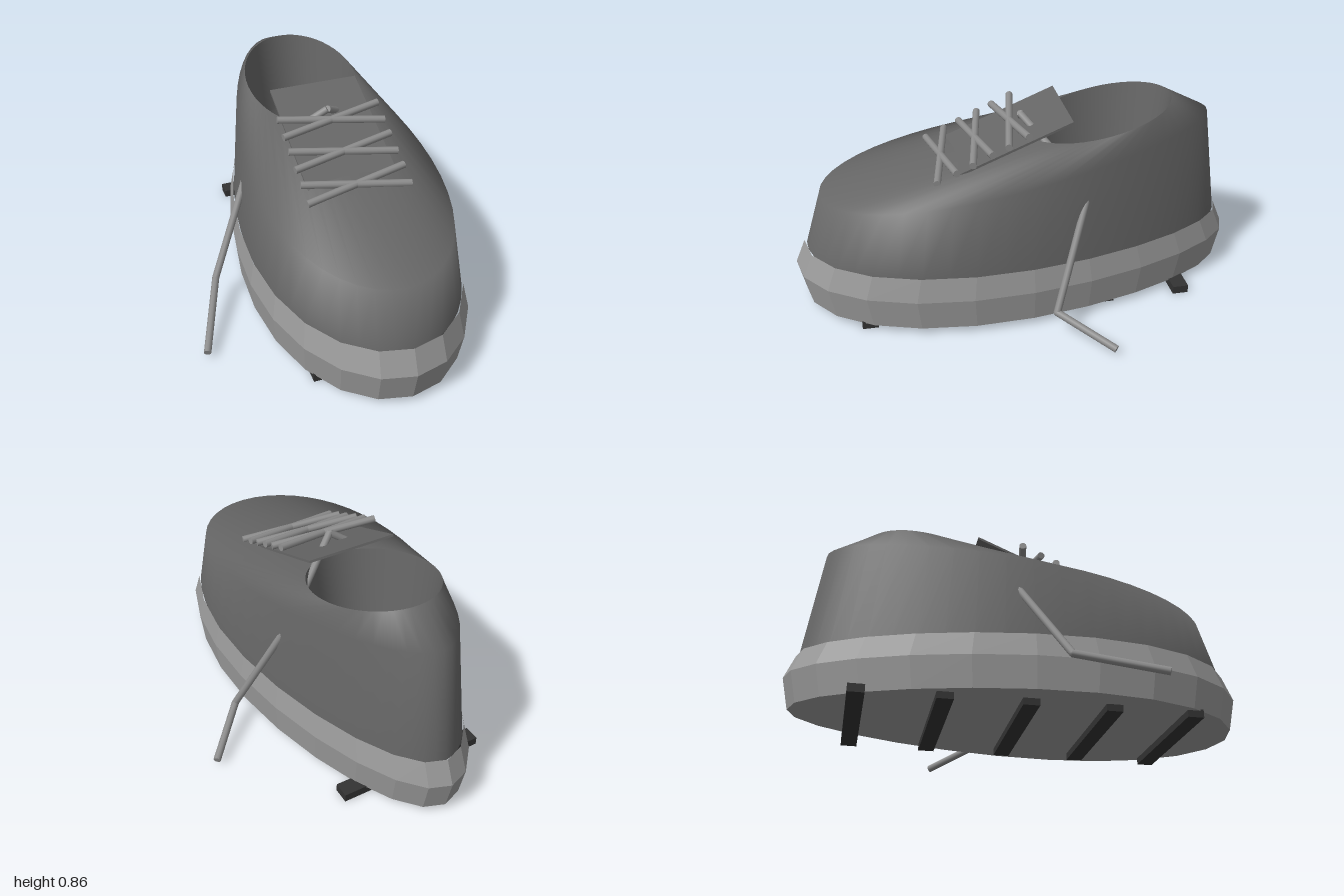
import * as THREE from 'three';

const material = (name, color, extra = {}) => {
  const m = new THREE.MeshStandardMaterial({ color, ...extra });
  m.name = name;
  return m;
};

// Skin a stack of closed rings, bottom to top, optionally closing the underside.
function loft(rings, capBottom = false) {
  const n = rings[0].length;
  const position = rings.flat().flatMap((p) => [p.x, p.y, p.z]);
  const index = [];
  for (let i = 0; i < rings.length - 1; i++) {
    for (let j = 0; j < n; j++) {
      const k = (j + 1) % n;
      const a = i * n + j, b = i * n + k, c = a + n, d = b + n;
      index.push(a, b, d, a, d, c);
    }
  }
  if (capBottom) for (let j = 1; j < n - 1; j++) index.push(0, j + 1, j);
  const g = new THREE.BufferGeometry();
  g.setAttribute('position', new THREE.Float32BufferAttribute(position, 3));
  g.setIndex(index);
  g.computeVertexNormals();
  return g;
}

// One ring: place(t) is called around the foot, t = 0 at the toe, pi at the heel.
function ring(sides, place) {
  return Array.from({ length: sides }, (_, i) => place((i / sides) * Math.PI * 2));
}

// Egg-shaped footprint, broad at the toe and narrow at the heel.
const footprint = (s, height) => (t) => {
  const z = s * Math.cos(t);
  return new THREE.Vector3(s * Math.sin(t) * (0.445 + 0.1 * Math.cos(t)), height(z), z);
};

// Foot opening: an ellipse lying on the sloping top.
const opening = (rx, rz, drop) => (t) => {
  const z = -0.37 + rz * Math.cos(t);
  return new THREE.Vector3(rx * Math.sin(t), 0.704 - 0.2226 * z - drop, z);
};

export function createModel() {
  const shoe = new THREE.Group();
  shoe.name = 'shoe';
  const upperGrey = material('upper grey', 0x666666, { side: THREE.DoubleSide });
  const soleGrey = material('sole grey', 0x999999, { flatShading: true });
  const laceGrey = material('lace grey', 0x8c8c8c);
  const treadDark = material('tread dark grey', 0x333333);

  const add = (name, geometry, mat, parent = shoe) => {
    const mesh = new THREE.Mesh(geometry, mat);
    mesh.name = name;
    parent.add(mesh);
    return mesh;
  };
  const group = (name) => {
    const g = new THREE.Group();
    g.name = name;
    shoe.add(g);
    return g;
  };

  // Faceted sole
  const soleLevels = [[0.97, 0.03], [1, 0.17], [0.955, 0.275]];
  add('sole', loft(soleLevels.map(([s, y]) => ring(24, footprint(s, () => y))), true), soleGrey);

  // Upper: wall, shoulder and sloping top up to the opening
  const sides = 48;
  add('upper', loft([
    ring(sides, footprint(0.945, () => 0.265)),
    ring(sides, footprint(0.868, (z) => 0.64 - 0.15 * z)),
    ring(sides, opening(0.255, 0.32, 0)),
  ]), upperGrey);
  add('collarLining', loft([
    ring(sides, opening(0.22, 0.27, 0.35)),
    ring(sides, opening(0.255, 0.32, 0)),
  ]), upperGrey);

  // Insole
  add('insole', new THREE.BoxGeometry(0.37, 0.03, 1.3), treadDark).position.set(0, 0.12, -0.1);

  // Tongue, a thin sloping plate
  const tongue = add('tongue', new THREE.BoxGeometry(0.4, 0.01, 0.55), upperGrey);
  tongue.position.set(0, 0.73, 0.045);
  tongue.rotation.x = Math.atan(0.41);

  // Straight round cord between two points
  const cord = (name, a, b, parent) => {
    const dir = b.clone().sub(a);
    const mesh = add(name, new THREE.CylinderGeometry(0.016, 0.016, dir.length(), 10), laceGrey, parent);
    mesh.position.copy(a).add(b).multiplyScalar(0.5);
    mesh.quaternion.setFromUnitVectors(new THREE.Vector3(0, 1, 0), dir.normalize());
  };

  // Three crossed pairs of laces
  const laces = group('crossedLaces');
  for (let i = 0; i < 3; i++) {
    const y = 0.78 - 0.07 * i, z = 0.03 + 0.152 * i;
    for (const s of [-1, 1]) {
      cord('lace',
        new THREE.Vector3(-0.23 * s, y + 0.02, z - 0.042),
        new THREE.Vector3(0.23 * s, y - 0.02, z + 0.042), laces);
    }
  }

  // Loose ends that run from the knot through the sides to the ground
  const looseEnds = {
    leftLooseLace: [[0, 0.805, -0.02], [0.33, 0.58, -0.25], [0.515, 0.108, -0.08], [0.705, 0.03, -0.29]],
    rightLooseLace: [[0, 0.805, -0.02], [-0.33, 0.58, -0.1], [-0.575, 0.13, 0.11], [-0.705, 0.03, 0.455]],
  };
  for (const [name, path] of Object.entries(looseEnds)) {
    const end = group(name);
    const points = path.map((p) => new THREE.Vector3(...p));
    for (let i = 0; i < points.length - 1; i++) {
      cord('laceSegment', points[i], points[i + 1], end);
      if (i > 0) add('laceBend', new THREE.SphereGeometry(0.016, 10, 6), laceGrey, end).position.copy(points[i]);
    }
  }

  // Tread bars
  const treads = group('treads');
  for (let i = -2; i <= 2; i++) {
    add('treadBar', new THREE.BoxGeometry(0.665, 0.036, 0.07), treadDark, treads).position.set(0, 0.018, 0.35 * i);
  }
  return shoe;
}
